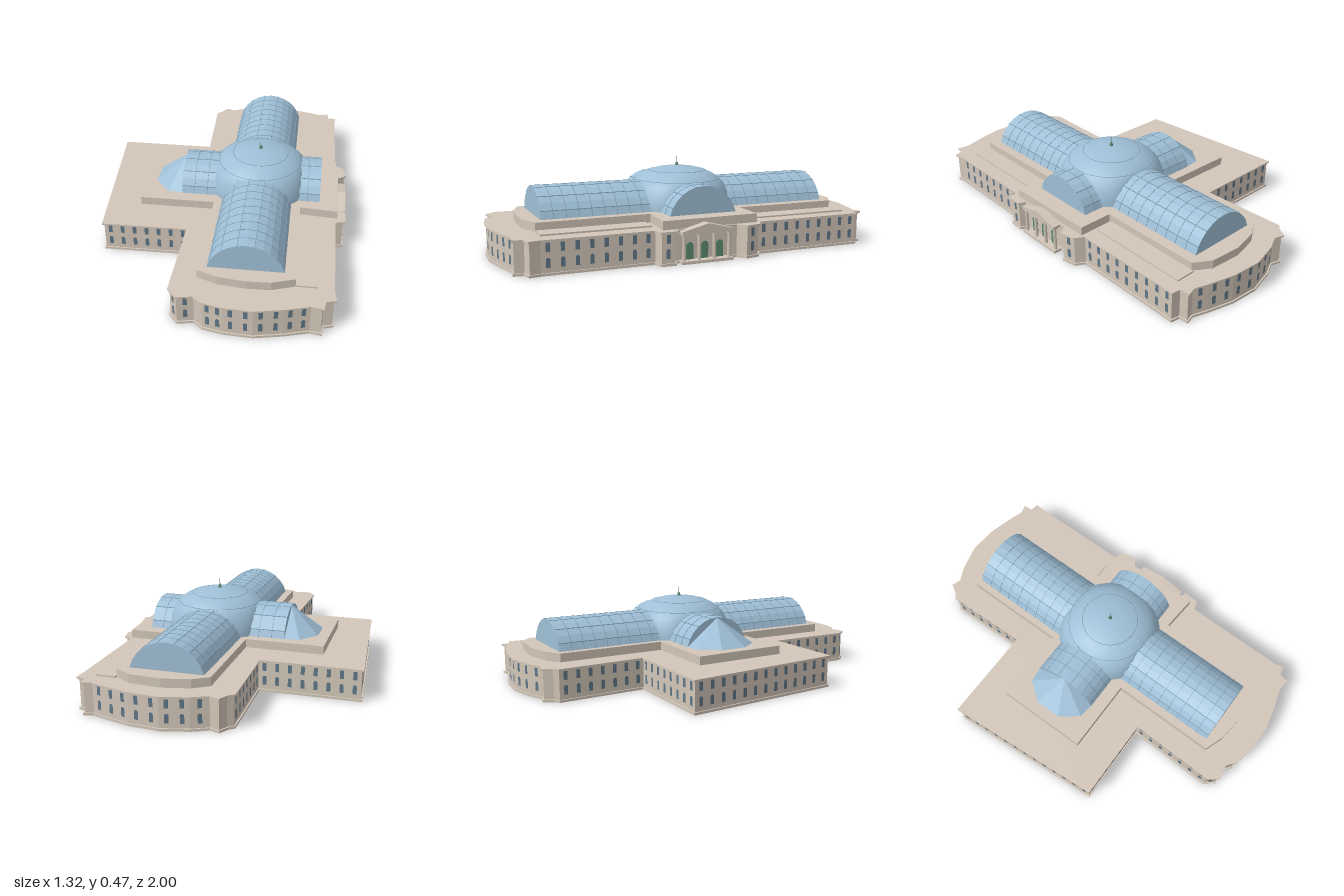
import * as THREE from 'three';
import { mergeGeometries } from 'three/addons/utils/BufferGeometryUtils.js';

const mat = (color, extra = {}) => new THREE.MeshStandardMaterial({ color, ...extra });
const stone = mat(0xd2c6b8), glass = mat(0x9fbfd6, { flatShading: true });
const bars = mat(0x7f9fb5), pane = mat(0x5f7688), green = mat(0x5c8a70);

function add(parent, name, geometry, material, x = 0, y = 0, z = 0) {
  const m = new THREE.Mesh(geometry, material);
  m.name = name;
  m.position.set(x, y, z);
  parent.add(m);
  return m;
}

// Vertical prism over a plan given as [x, z] points
function slab(plan, y0, y1) {
  const shape = new THREE.Shape(plan.map(([x, z]) => new THREE.Vector2(x, -z)));
  return new THREE.ExtrudeGeometry(shape, { depth: y1 - y0, bevelEnabled: false })
    .rotateX(-Math.PI / 2).translate(0, y0, 0);
}

const outward = (a, b) => {
  const dx = b[0] - a[0], dz = b[1] - a[1], l = Math.hypot(dx, dz);
  return [dz / l, -dx / l, l];
};

// Mitred inset of a plan
function inset(plan, d) {
  const n = plan.length;
  return plan.map((p, i) => {
    const a = outward(plan[(i + n - 1) % n], p), b = outward(p, plan[(i + 1) % n]);
    const k = d / Math.max(0.5, 1 + a[0] * b[0] + a[1] * b[1]);
    return [p[0] - (a[0] + b[0]) * k, p[1] - (a[1] + b[1]) * k];
  });
}

function windowShape(w, h, arched) {
  const s = new THREE.Shape();
  s.moveTo(-w, 0);
  s.lineTo(w, 0);
  s.lineTo(w, h - (arched ? w : 0));
  if (arched) s.absarc(0, h - w, w, 0, Math.PI, false);
  else s.lineTo(-w, h);
  s.closePath();
  return s;
}

// Closed barrel profile: springing at 0.21, crown at 0.35
function barrelProfile(half, grow = 0) {
  const rise = 0.14, r = (half * half + rise * rise) / (2 * rise), a = Math.asin(Math.min(1, half / r));
  const pts = [];
  for (let i = 0; i <= 12; i++) {
    const t = a - (2 * a * i) / 12;
    pts.push(new THREE.Vector2(Math.sin(t) * (r + grow), 0.35 - r + Math.cos(t) * (r + grow)));
  }
  return pts;
}

// Glazed vault along z with cross ribs and lengthwise bars
function barrelVault(name, half, z0, z1) {
  const g = new THREE.Group();
  g.name = name;
  const ext = (pts, depth) => new THREE.ExtrudeGeometry(new THREE.Shape(pts), { depth, bevelEnabled: false });
  const pts = barrelProfile(half);
  add(g, 'vaultGlass', ext(pts, z1 - z0), glass, 0, 0, z0);
  const parts = [], n = Math.round((z1 - z0) / 0.065);
  for (let i = 1; i < n; i++) {
    parts.push(ext(barrelProfile(half, 0.0015), 0.003).translate(0, 0, z0 + ((z1 - z0) * i) / n));
  }
  for (let i = 1; i < 12; i += 2) {
    parts.push(new THREE.BoxGeometry(0.003, 0.003, z1 - z0).toNonIndexed()
      .translate(pts[i].x, pts[i].y, (z0 + z1) / 2));
  }
  add(g, 'glazingBars', mergeGeometries(parts), bars);
  return g;
}

export function createModel() {
  const model = new THREE.Group();
  model.name = 'domedHall';

  // Main storey plan with bowed ends, west wing and east entrance bay
  const plan = [
    [-0.667, -0.49], [-0.15, -0.45], [-0.13, -0.9], [-0.1, -0.92], [-0.07, -0.965], [-0.02, -0.945],
    [0.06, -0.975], [0.2, -0.998], [0.35, -0.975], [0.48, -0.93], [0.55, -0.9], [0.6, -0.91],
    [0.6, -0.86], [0.645, -0.85], [0.637, -0.78], [0.6, -0.26], [0.645, -0.23], [0.655, -0.15],
    [0.62, -0.13], [0.605, -0.12], [0.585, 0.2], [0.62, 0.22], [0.61, 0.3], [0.56, 0.31],
    [0.515, 0.85], [0.52, 0.91], [0.47, 0.92], [0.46, 0.97], [0.4, 0.955], [0.28, 0.98],
    [0.14, 0.998], [0, 0.98], [-0.1, 0.95], [-0.14, 0.91], [-0.22, 0.92], [-0.26, 0.86],
    [-0.215, 0.4], [-0.66, 0.37],
  ];
  const walls = inset(plan, 0.01);
  add(model, 'walls', slab(walls, 0, 0.16), stone);
  add(model, 'plinth', slab(inset(plan, 0.003), 0, 0.012), stone);
  add(model, 'corniceMoulding', slab(inset(plan, 0.005), 0.153, 0.158), stone);
  add(model, 'corniceAndRoof', slab(plan, 0.158, 0.166), stone);

  // Two rows of windows: arched below, square-headed above
  const panes = [];
  walls.forEach((a, i) => {
    const b = walls[(i + 1) % walls.length], [nx, nz, len] = outward(a, b);
    const mx = (a[0] + b[0]) / 2, mz = (a[1] + b[1]) / 2;
    if (len < 0.06 || (mx > 0.55 && Math.abs(mz - 0.04) < 0.08)) return;
    const n = Math.max(1, Math.round(len / 0.067));
    for (let k = 0; k < n; k++) {
      const t = (k + 0.5) / n;
      for (const [y, h, arched] of [[0.035, 0.047, true], [0.108, 0.043, false]]) {
        panes.push(new THREE.ShapeGeometry(windowShape(0.01, h, arched), 5)
          .rotateY(Math.atan2(nx, nz))
          .translate(a[0] + (b[0] - a[0]) * t + nx * 0.001, y, a[1] + (b[1] - a[1]) * t + nz * 0.001));
      }
    }
  });
  add(model, 'windows', mergeGeometries(panes), pane);

  // Raised attic storey carrying the vaults
  add(model, 'attic', slab([
    [-0.45, -0.305], [-0.04, -0.27], [0, -0.83], [0.08, -0.875], [0.22, -0.895], [0.38, -0.87], [0.46, -0.81],
    [0.42, -0.255], [0.6, -0.24], [0.57, 0.27], [0.375, 0.24], [0.335, 0.82], [0.22, 0.85],
    [0.1, 0.845], [-0.03, 0.82], [-0.13, 0.775], [-0.085, 0.21], [-0.48, 0.18],
  ], 0.16, 0.21), stone);

  // Everything aligned to the hall's slightly turned axis
  const hall = new THREE.Group();
  hall.name = 'hall';
  hall.position.set(0.16, 0, -0.02);
  hall.rotation.y = -0.077;
  model.add(hall);

  for (const s of [-1, 1]) {
    add(hall, 'eastRoofStrip', new THREE.BoxGeometry(0.1, 0.012, 0.55), stone, 0.29, 0.168, s * 0.55);
  }
  hall.add(barrelVault('longVaultFront', 0.185, 0.2, 0.785));
  hall.add(barrelVault('longVaultBack', 0.185, -0.785, -0.2));
  const east = barrelVault('crossVaultEast', 0.18, 0.2, 0.335);
  const west = barrelVault('crossVaultWest', 0.18, 0.2, 0.41);
  east.rotation.y = Math.PI / 2;
  west.rotation.y = -Math.PI / 2;
  hall.add(east, west);

  // Faceted apse roof closing the west vault
  const rim = [[-0.4, -0.18], [-0.49, -0.17], [-0.567, -0.07], [-0.567, 0.07], [-0.49, 0.17], [-0.4, 0.18]];
  const tri = [];
  for (let i = 0; i < rim.length - 1; i++) {
    const [a, b] = [rim[i], rim[i + 1]];
    tri.push(-0.405, 0.35, 0, a[0], 0.21, a[1], b[0], 0.21, b[1]);
  }
  const apse = new THREE.BufferGeometry();
  apse.setAttribute('position', new THREE.Float32BufferAttribute(tri, 3));
  apse.computeVertexNormals();
  add(hall, 'apseRoof', apse, mat(0x9fbfd6, { flatShading: true, side: THREE.DoubleSide }));

  // Dome, with its lower part trimmed to the square crossing
  const profile = [[0.285, 0.2], [0.283, 0.24], [0.27, 0.285], [0.25, 0.325], [0.225, 0.35], [0.19, 0.375],
    [0.15, 0.393], [0.1, 0.407], [0.05, 0.414], [0, 0.417]].map(([r, y]) => new THREE.Vector2(r, y));
  const dome = new THREE.LatheGeometry(profile, 48);
  const p = dome.attributes.position;
  for (let i = 0; i < p.count; i++) {
    p.setX(i, THREE.MathUtils.clamp(p.getX(i), -0.24, 0.24));
    p.setZ(i, THREE.MathUtils.clamp(p.getZ(i), -0.235, 0.235));
  }
  dome.computeVertexNormals();
  add(hall, 'dome', dome, mat(0x9fbfd6));
  for (const [r, y] of [[0.15, 0.393], [0.225, 0.35]]) {
    add(hall, 'domeRing', new THREE.TorusGeometry(r, 0.0015, 4, 48).rotateX(Math.PI / 2), bars, 0, y, 0);
  }
  add(hall, 'finialBase', new THREE.CylinderGeometry(0.006, 0.011, 0.018, 8), green, 0, 0.424, 0);
  add(hall, 'finialSpike', new THREE.CylinderGeometry(0.001, 0.002, 0.035, 6), green, 0, 0.45, 0);

  // Entrance portico on the east bay
  const portico = new THREE.Group();
  portico.name = 'portico';
  portico.position.set(0.43, 0, 0.04);
  portico.rotation.y = Math.PI / 2;
  hall.add(portico);
  add(portico, 'step', new THREE.BoxGeometry(0.27, 0.014, 0.05), stone, 0, 0.007, 0.02);
  for (let i = 0; i < 4; i++) {
    const x = -0.12 + i * 0.08;
    add(portico, 'column', new THREE.CylinderGeometry(0.008, 0.009, 0.126, 12), stone, x, 0.077, 0.026);
    add(portico, 'capital', new THREE.BoxGeometry(0.022, 0.008, 0.022), stone, x, 0.139, 0.026);
    if (i < 3) {
      add(portico, 'door', new THREE.ExtrudeGeometry(windowShape(0.018, 0.085, true),
        { depth: 0.006, bevelEnabled: false }), green, x + 0.04, 0.013, 0);
    }
  }
  add(portico, 'entablature', new THREE.BoxGeometry(0.265, 0.016, 0.04), stone, 0, 0.15, 0.02);
  const gable = new THREE.Shape([[-0.137, 0], [0.137, 0], [0, 0.034]].map(([x, y]) => new THREE.Vector2(x, y)));
  add(portico, 'pediment', new THREE.ExtrudeGeometry(gable, { depth: 0.05, bevelEnabled: false }), stone, 0, 0.158, -0.005);

  return model;
}
